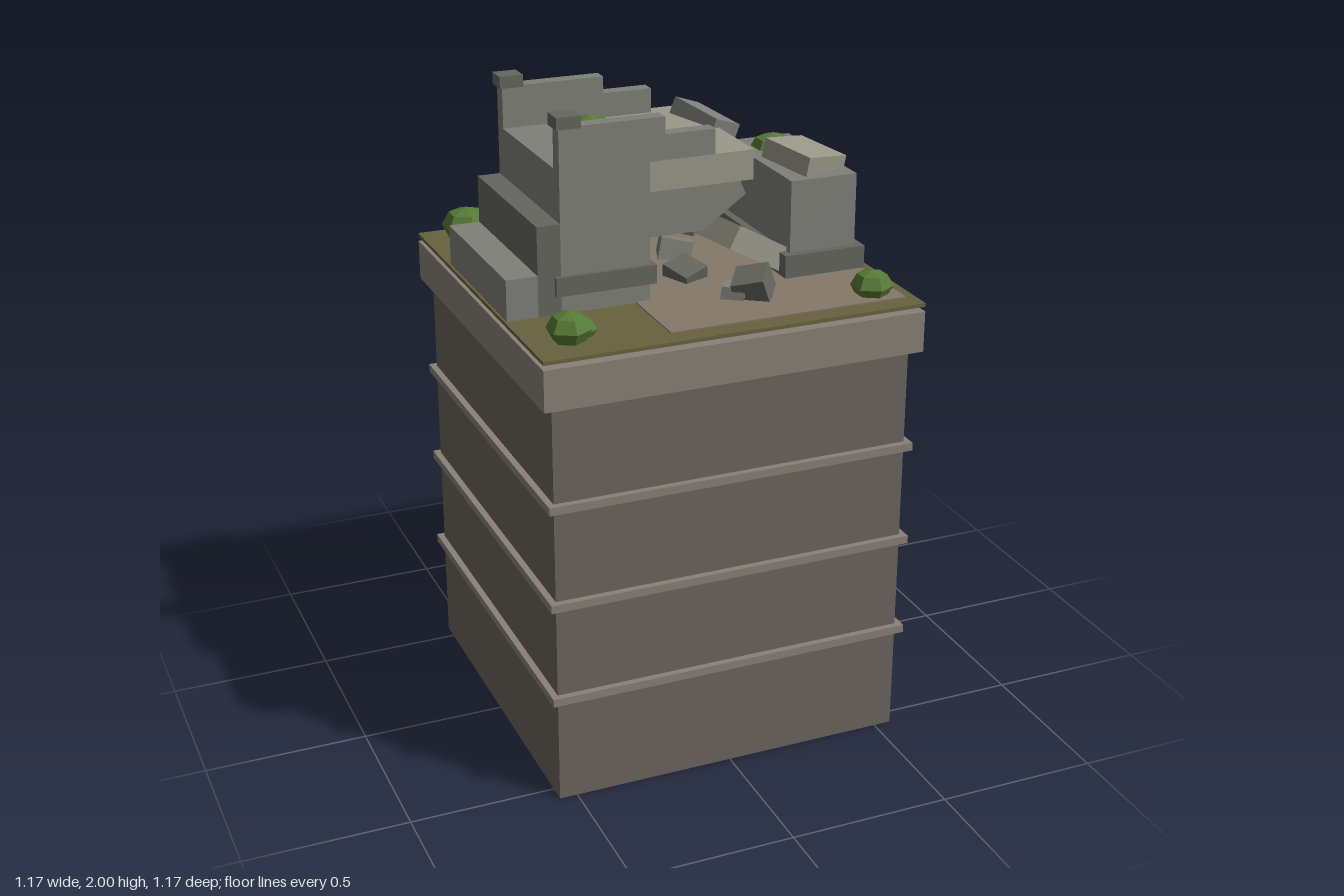
import * as THREE from 'three';

export function createModel() {
  const model = new THREE.Group();
  const mats = {};
  const mat = (color) => (mats[color] ??= new THREE.MeshStandardMaterial({ color, flatShading: true }));
  const WALL = 0x6b655e, TRIM = 0x8a8178, GRASS = 0x67633f, DIRT = 0x85786a;
  const STONE = 0x80807a, DARK = 0x66665f, PALE = 0x9a998a, LEAF = 0x557a35;

  const add = (name, geometry, color) => {
    const mesh = new THREE.Mesh(geometry, mat(color));
    mesh.name = name;
    model.add(mesh);
    return mesh;
  };
  // Box given by its extents along each axis
  const block = (name, color, [x0, x1], [y0, y1], [z0, z1]) => {
    const m = add(name, new THREE.BoxGeometry(x1 - x0, y1 - y0, z1 - z0), color);
    m.position.set((x0 + x1) / 2, (y0 + y1) / 2, (z0 + z1) / 2);
    return m;
  };
  // Tilted box given by centre, size and rotation
  const chunk = (name, color, pos, size, rot) => {
    const m = add(name, new THREE.BoxGeometry(...size), color);
    m.position.set(...pos);
    m.rotation.set(rot[0], rot[1], rot[2], 'YXZ');
    return m;
  };
  const sym = (h) => [-h, h];

  // Tall plinth with bands and a cap
  block('tower', WALL, sym(0.555), [0, 1.27], sym(0.555));
  for (const y of [0.343, 0.652, 0.962]) {
    block('band', TRIM, sym(0.575), [y - 0.0125, y + 0.0125], sym(0.575));
  }
  block('cap', TRIM, sym(0.587), [1.27, 1.395], sym(0.587));

  // Ground on top
  block('grass', GRASS, sym(0.587), [1.41, 1.421], sym(0.587));
  block('dirt', DIRT, [-0.187, 0.555], [1.412, 1.425], [-0.53, 0.525]);

  // Bridge abutment with steps behind it
  block('lowerStep', STONE, [-0.58, -0.485], [1.42, 1.545], sym(0.264));
  block('upperStep', DARK, [-0.485, -0.415], [1.42, 1.69], sym(0.264));
  block('abutment', STONE, [-0.415, -0.142], [1.42, 1.84], sym(0.264));
  block('abutmentBase', DARK, [-0.434, -0.126], [1.478, 1.535], sym(0.277));

  // Broken span and its haunch
  block('deck', PALE, [-0.142, 0.182], [1.75, 1.84], sym(0.263));
  block('haunch', STONE, [-0.142, 0.03], [1.61, 1.75], sym(0.25));
  const broken = new THREE.Shape([[0.03, 1.61], [0.165, 1.705], [0.145, 1.75], [0.03, 1.75]]
    .map(([x, y]) => new THREE.Vector2(x, y)));
  add('haunchEnd', new THREE.ExtrudeGeometry(broken, { depth: 0.5, bevelEnabled: false }), STONE)
    .position.z = -0.25;

  // Stepped parapets with posts
  for (const s of [-1, 1]) {
    const z = [s * 0.241 - 0.023, s * 0.241 + 0.023];
    block('parapet', STONE, [-0.415, -0.095], [1.84, 1.967], z);
    block('parapetEnd', STONE, [-0.095, 0.06], [1.84, 1.915], z);
    block('postCap', DARK, [-0.425, -0.352], [1.964, 2], [s * 0.241 - 0.034, s * 0.241 + 0.034]);
  }

  // Far pier
  block('farPierBase', DARK, [0.297, 0.56], [1.42, 1.495], [-0.258, 0.254]);
  block('farPier', STONE, [0.322, 0.537], [1.49, 1.717], [-0.235, 0.23]);

  // Fallen slabs
  chunk('deckSlab', STONE, [0.18, 1.828, -0.095], [0.095, 0.075, 0.215], [0.1, 0.21, -0.35]);
  chunk('pierSlab', PALE, [0.43, 1.744, 0.09], [0.155, 0.06, 0.195], [0.1, 0.31, -0.14]);
  chunk('leaningSlab', PALE, [0.205, 1.513, 0.062], [0.24, 0.075, 0.33], [0, 0.2, -0.52]);

  // Rubble: x, y, z, width, height, depth, turn, tilt
  const rubble = [
    [0.15, 1.455, 0.342, 0.10, 0.08, 0.105, -0.6, 0.25],
    [0.10, 1.432, 0.325, 0.07, 0.05, 0.08, -0.6, -0.1],
    [0.335, 1.432, -0.478, 0.06, 0.055, 0.09, 0.55, 0.2],
    [0.255, 1.455, -0.395, 0.10, 0.07, 0.09, -0.45, -0.2],
    [0.205, 1.45, -0.335, 0.09, 0.08, 0.10, -0.25, 0.3],
    [0.205, 1.43, -0.25, 0.05, 0.05, 0.06, 0.6, 0.2],
    [0.03, 1.435, 0.12, 0.09, 0.06, 0.1, 0.4, 0.2],
    [0.08, 1.44, -0.08, 0.10, 0.07, 0.09, -0.3, -0.2],
  ];
  rubble.forEach(([x, y, z, w, h, d, turn, tilt], i) =>
    chunk('rubble', i % 2 ? STONE : DARK, [x, y, z], [w, h, d], [tilt, turn, tilt]));

  // Bushes: x, y, z, radius
  const bushes = [
    [-0.465, 1.456, 0.46, 0.066], [-0.42, 1.44, 0.437, 0.045],
    [0.477, 1.45, 0.46, 0.063], [0.515, 1.436, 0.437, 0.042],
    [-0.463, 1.468, -0.465, 0.08], [-0.408, 1.45, -0.49, 0.054],
    [-0.187, 1.82, -0.095, 0.092], [0.43, 1.702, -0.125, 0.077],
  ];
  for (const [x, y, z, r] of bushes) {
    const bush = add('bush', new THREE.SphereGeometry(r, 6, 4), LEAF);
    bush.position.set(x, y, z);
    bush.scale.y = 0.77;
    bush.rotation.y = Math.PI / 6;
  }
  return model;
}
